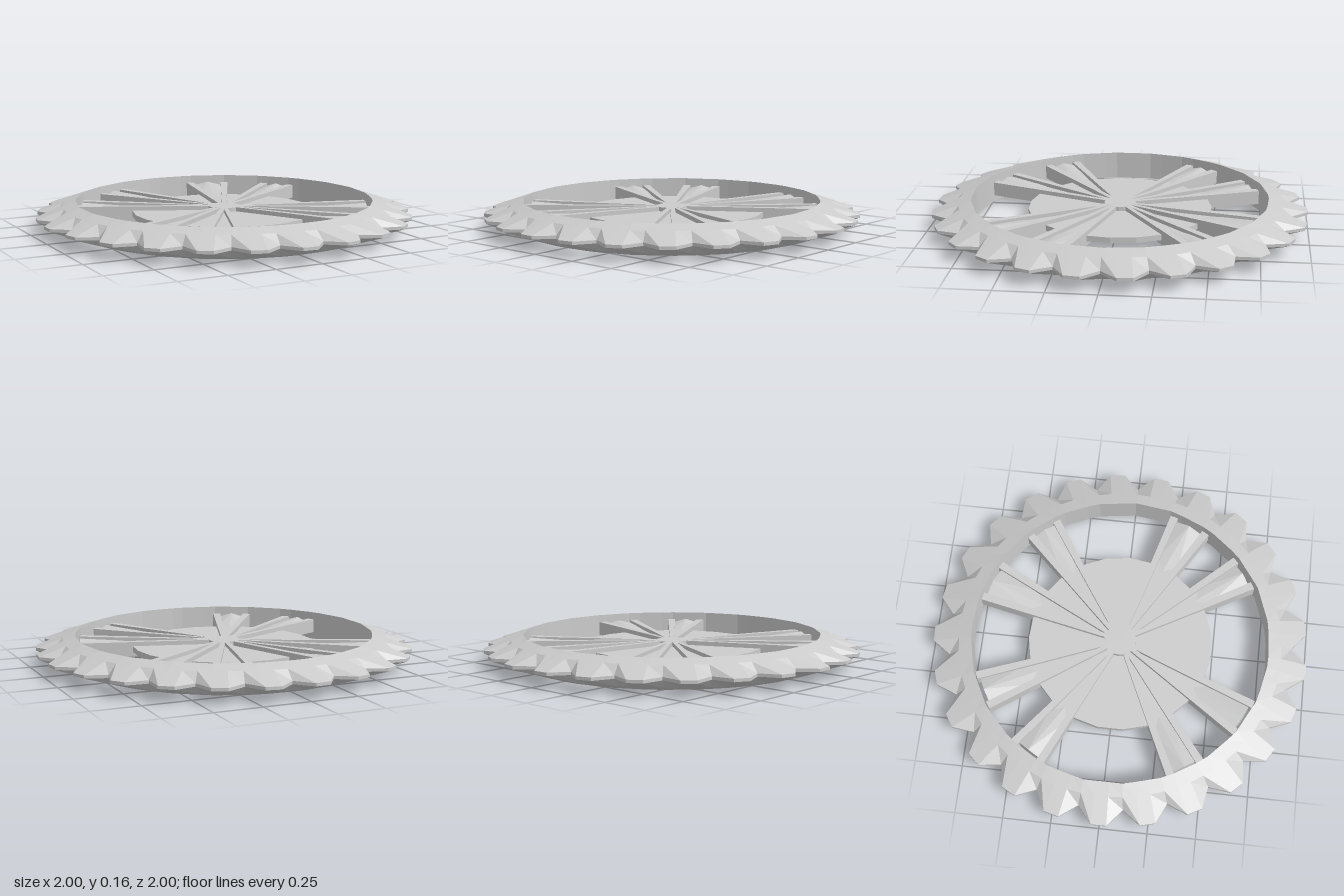
import * as THREE from 'three';
import { ConvexGeometry } from 'three/addons/geometries/ConvexGeometry.js';

const MID = 0.0775; // mid-height of the wheel
const mat = new THREE.MeshStandardMaterial({ color: 0xcccccc, flatShading: true });
const rad = THREE.MathUtils.degToRad;

function add(group, name, geometry) {
  const mesh = new THREE.Mesh(geometry, mat);
  mesh.name = name;
  group.add(mesh);
  return mesh;
}

// Point at a plan angle (counter-clockwise seen from above)
const polar = (r, a, y) => new THREE.Vector3(r * Math.cos(a), y, -r * Math.sin(a));

// Flat disc with a polygon outline, centred on mid-height
function disc(r, h, sides) {
  return new THREE.CylinderGeometry(r, r, h, sides).rotateY(Math.PI / 2).translate(0, MID, 0);
}

// Flat plate from a plan outline, centred on mid-height
function plate(points, h) {
  const shape = new THREE.Shape(points.map(([x, y]) => new THREE.Vector2(x, y)));
  return new THREE.ExtrudeGeometry(shape, { depth: h, bevelEnabled: false })
    .rotateX(-Math.PI / 2).translate(0, MID - h / 2, 0);
}

// Toothed rim: a tapered ring whose thin outer edge zigzags into teeth
function rimGeometry() {
  const teeth = 25, sides = 23, step = (Math.PI * 2) / teeth, side = (Math.PI * 2) / sides;
  const innerR = a => {
    const m = ((a % side) + side) % side - side / 2;
    return 0.795 * Math.cos(side / 2) / Math.cos(m);
  };
  const sections = [];
  for (let i = 0; i < teeth; i++) {
    const c = Math.PI + i * step;
    for (const [da, r] of [[-0.04, 1], [0.04, 1], [step / 2, 0.915]]) {
      const a = c + da, ri = innerR(a);
      sections.push([
        polar(ri, a, 0), polar(ri, a, 2 * MID),
        polar(0.86, a, MID + 0.055), polar(r, a, MID + 0.008),
        polar(r, a, MID - 0.008), polar(0.86, a, MID - 0.055),
      ]);
    }
  }
  const pos = [];
  const tri = (...p) => p.forEach(v => pos.push(v.x, v.y, v.z));
  sections.forEach((s, i) => {
    const n = sections[(i + 1) % sections.length];
    for (let k = 0; k < 6; k++) {
      const j = (k + 1) % 6;
      tri(s[k], s[j], n[j]);
      tri(s[k], n[j], n[k]);
    }
  });
  const g = new THREE.BufferGeometry();
  g.setAttribute('position', new THREE.Float32BufferAttribute(pos, 3));
  // Sections run inner wall upwards then outwards, so the winding is reversed here
  const p = g.attributes.position, a = new THREE.Vector3(), b = new THREE.Vector3(), c = new THREE.Vector3();
  a.fromBufferAttribute(p, 0); b.fromBufferAttribute(p, 1); c.fromBufferAttribute(p, 2);
  const normal = b.clone().sub(a).cross(c.clone().sub(a));
  if (normal.x * a.x + normal.z * a.z > 0) {
    for (let i = 0; i < p.count; i += 3) {
      b.fromBufferAttribute(p, i + 1); c.fromBufferAttribute(p, i + 2);
      p.setXYZ(i + 1, c.x, c.y, c.z);
      p.setXYZ(i + 2, b.x, b.y, b.z);
    }
  }
  g.computeVertexNormals();
  return g;
}

// Spoke: two edge bars joined by a thin web that swells at its outer end
function makeSpoke(from, to) {
  const g = new THREE.Group();
  g.name = 'spoke';
  const inset = rad(1.5), a0 = rad(from) + inset, a1 = rad(to) - inset, mid = (a0 + a1) / 2;
  for (const a of [a0, a1]) {
    const bar = plate([[0.06, -0.011], [0.785, -0.021], [0.785, 0.021], [0.06, 0.011]], 0.075);
    add(g, 'spokeBar', bar).rotation.y = a;
  }
  const at = (r, a) => [r * Math.cos(a), r * Math.sin(a)];
  add(g, 'spokeWeb', plate([at(0.06, a0), at(0.77, a0), at(0.77, a1), at(0.06, a1)], 0.035));
  const swell = [];
  for (const s of [-1, 1]) {
    swell.push(polar(0.45, mid, MID + s * 0.016), polar(0.77, mid, MID + s * 0.042));
    for (const a of [a0, a1]) swell.push(polar(0.77, a, MID + s * 0.018), polar(0.52, a, MID + s * 0.016));
  }
  add(g, 'webSwell', new ConvexGeometry(swell));
  return g;
}

export function createModel() {
  const model = new THREE.Group();
  model.name = 'toothedWheel';
  add(model, 'toothedRim', rimGeometry());
  add(model, 'centreDisc', disc(0.49, 0.03, 23));
  add(model, 'hubCap', disc(0.085, 0.076, 16));

  // Four spokes on the back half, mirrored to the front with slightly different spacing
  const spans = [
    [31.5, 46.5], [61, 79], [109.5, 125.5], [140.5, 156],
    [-156, -140.5], [-125.5, -109.5], [-61.5, -46], [-32, -14.7],
  ];
  for (const [from, to] of spans) model.add(makeSpoke(from, to));
  return model;
}
